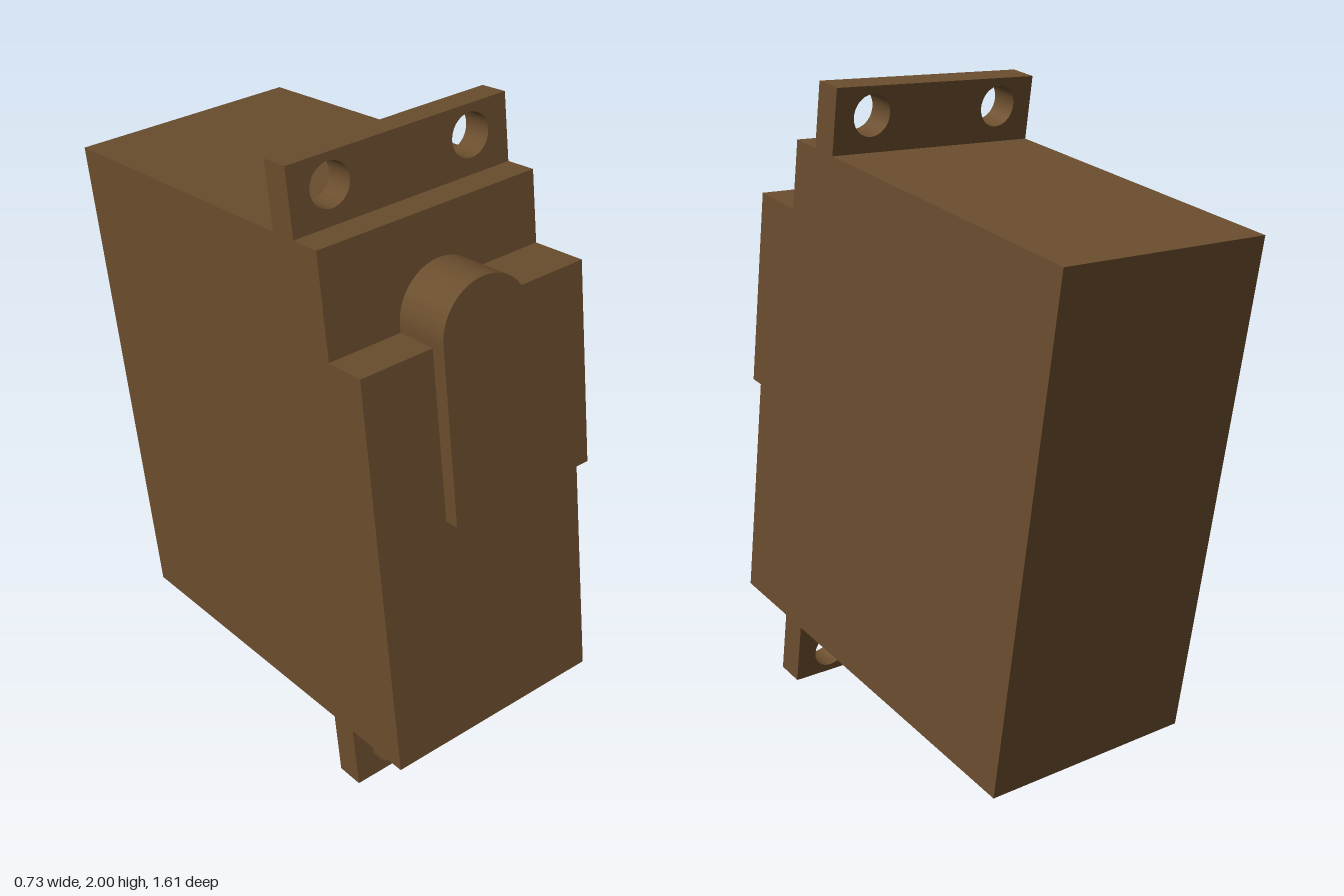
import * as THREE from 'three';

const HALF = 0.366;                 // half width of the housing
const TILT = THREE.MathUtils.degToRad(9.52);

const outline = (pts) => new THREE.Shape(pts.map(([a, b]) => new THREE.Vector2(a, b)));
const extrude = (shape, depth) =>
  new THREE.ExtrudeGeometry(shape, { depth, bevelEnabled: false, curveSegments: 24 });

export function createModel() {
  const material = new THREE.MeshStandardMaterial({ color: 0x6b4e2e });
  const model = new THREE.Group();
  model.name = 'servoMotor';

  // Tilted frame: z runs back to front, y bottom to top, from the lower back edge
  const servo = new THREE.Group();
  servo.name = 'tiltedServo';
  servo.rotation.x = -TILT;
  servo.position.set(0, 0.035, -0.535);
  model.add(servo);

  const add = (name, geometry, z = 0) => {
    const mesh = new THREE.Mesh(geometry, material);
    mesh.name = name;
    mesh.position.z = z;
    servo.add(mesh);
  };

  // Housing: side profile (z, y) with a step at the upper front, swept across the width
  const housing = extrude(outline([
    [0, 0], [1.359, 0], [1.359, 1.288], [1.225, 1.288], [1.225, 1.604], [0, 1.604],
  ]), HALF * 2);
  housing.rotateY(-Math.PI / 2).translate(HALF, 0, 0);
  add('housing', housing);

  // Raised gear cover on the front, with a round boss rising above its top edge
  const r = 0.148, cx = 0.02, cy = 1.31, top = 1.387;
  const cover = new THREE.Shape();
  cover.moveTo(cx - r, 0.752);
  cover.lineTo(HALF, 0.752);
  cover.lineTo(HALF, top);
  cover.lineTo(0.155, top);
  cover.absarc(cx, cy, r, Math.asin((top - cy) / r), Math.PI, false);
  cover.closePath();
  add('gearCover', extrude(cover, 0.18), 1.225);

  // Mounting ears above and below, each with two screw holes
  const ear = (name, y0, y1, holeY) => {
    const shape = outline([[-HALF, y0], [HALF, y0], [HALF, y1], [-HALF, y1]]);
    for (const x of [-0.236, 0.236]) {
      shape.holes.push(new THREE.Path().absarc(x, holeY, 0.064, 0, Math.PI * 2, true));
    }
    add(name, extrude(shape, 0.092), 1.033);
  };
  ear('upperMountingEar', 1.604, 1.804, 1.716);
  ear('lowerMountingEar', -0.207, 0, -0.121);

  return model;
}
